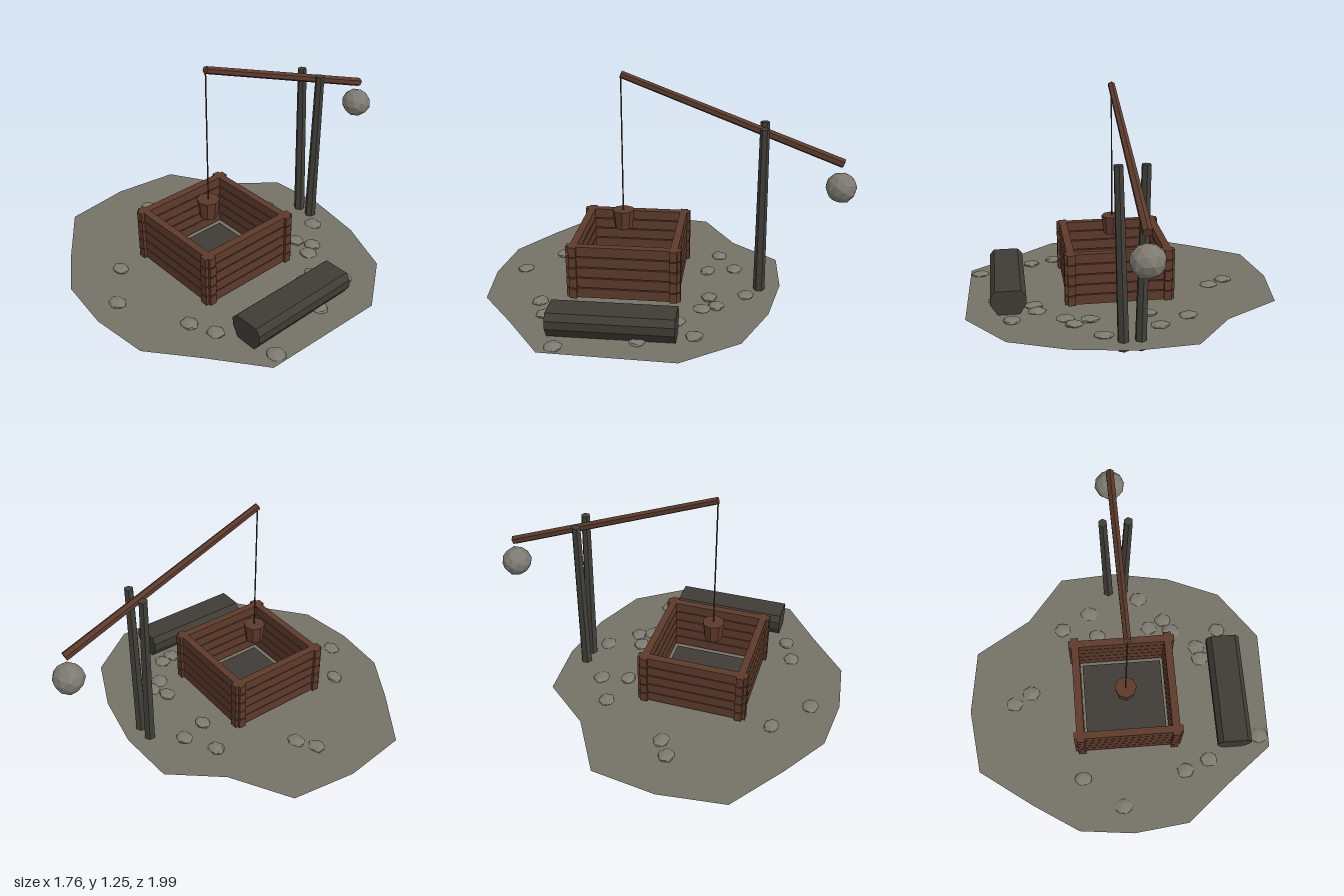
import * as THREE from 'three';

const mat = (name, color, side = THREE.FrontSide) => {
  const m = new THREE.MeshStandardMaterial({ color, side, flatShading: true });
  m.name = name;
  return m;
};

export function createModel() {
  const model = new THREE.Group();
  model.name = 'sweepWell';
  const soil = mat('soil', 0x757166, THREE.DoubleSide);
  const wood = mat('redBrownWood', 0x5d3a2b);
  const darkWood = mat('weatheredWood', 0x403f38);
  const troughWood = mat('troughWood', 0x3f3b35);
  const water = mat('darkWater', 0x3f3c37, THREE.DoubleSide);
  const stone = mat('stone', 0x7d7a70);
  const ropeMat = mat('rope', 0x4a3a2b);

  const add = (name, geo, material, x = 0, y = 0, z = 0, parent = model) => {
    const mesh = new THREE.Mesh(geo, material);
    mesh.name = name;
    mesh.position.set(x, y, z);
    parent.add(mesh);
    return mesh;
  };

  // Tapered pole between two points
  const pole = (name, a, b, rA, rB, sides, material) => {
    const from = new THREE.Vector3(...a), to = new THREE.Vector3(...b);
    const dir = to.clone().sub(from);
    const mesh = add(name, new THREE.CylinderGeometry(rB, rA, dir.length(), sides), material);
    mesh.position.copy(from).add(to).multiplyScalar(0.5);
    mesh.quaternion.setFromUnitVectors(new THREE.Vector3(0, 1, 0), dir.normalize());
    return mesh;
  };

  // Irregular faceted stone; each corner is pushed by a rule of its direction
  const rock = (name, seed, detail, rough, sx, sy, sz, x, y, z) => {
    const geo = new THREE.IcosahedronGeometry(1, detail);
    const p = geo.attributes.position, v = new THREE.Vector3();
    for (let i = 0; i < p.count; i++) {
      v.fromBufferAttribute(p, i);
      const k = 1 + rough * Math.sin(v.x * 5.1 + v.y * 7.3 + v.z * 6.7 + seed * 2.4);
      p.setXYZ(i, v.x * k, v.y * k, v.z * k);
    }
    geo.rotateY(seed * 1.7);
    geo.scale(sx, sy, sz);
    geo.computeVertexNormals();
    return add(name, geo, stone, x, y, z);
  };

  // Ground patch
  const outline = [
    [-0.30, -0.60], [0.03, -0.62], [0.36, -0.56], [0.67, -0.43], [0.88, -0.14],
    [0.86, 0.55], [0.59, 0.755], [0.345, 0.955], [0.03, 0.99], [-0.28, 0.955],
    [-0.54, 0.79], [-0.84, 0.575], [-0.885, 0.21], [-0.835, -0.15], [-0.515, -0.34],
  ];
  const patch = new THREE.Shape(outline.map(([x, z]) => new THREE.Vector2(x, -z)));
  add('ground', new THREE.ShapeGeometry(patch).rotateX(-Math.PI / 2), soil, 0, 0.05, 0);

  // Well curb: five courses of crossed planks
  const curb = new THREE.Group();
  curb.name = 'wellCurb';
  curb.position.set(0.033, 0, 0.21);
  model.add(curb);
  for (let i = 0; i < 5; i++) {
    const y = 0.0965 + i * 0.06;
    for (const s of [-1, 1]) {
      add('crossPlank', new THREE.BoxGeometry(0.61, 0.054, 0.04), wood, 0, y, s * 0.268, curb);
      add('sidePlank', new THREE.BoxGeometry(0.043, 0.054, 0.61), wood, s * 0.268, y, 0, curb);
    }
  }
  add('water', new THREE.PlaneGeometry(0.47, 0.47).rotateX(-Math.PI / 2), water, 0, 0.06, 0, curb);

  // Forked uprights and balance beam
  for (const s of [-1, 1]) {
    pole('upright', [0.034 + s * 0.044, 0, -0.505], [0.034 + s * 0.068, 0.975, -0.505],
      0.032, 0.025, 6, darkWood);
  }
  pole('sweepBeam', [0.033, 0.78, -0.922], [0.033, 1.226, 0.25], 0.025, 0.02, 6, wood);

  // Rope, bucket and counterweight
  pole('rope', [0.033, 0.465, 0.25], [0.033, 1.22, 0.25], 0.004, 0.004, 5, ropeMat);
  add('bucket', new THREE.CylinderGeometry(0.061, 0.049, 0.105, 8), wood, 0.033, 0.4175, 0.25);
  rock('counterweight', 1, 1, 0.03, 0.085, 0.083, 0.083, 0.03, 0.645, -0.917);

  // Trough: a log with a flattened top
  const section = [
    [0.578, 0.187], [0.718, 0.187], [0.745, 0.155], [0.745, 0.11], [0.708, 0.053],
    [0.645, 0.027], [0.585, 0.053], [0.55, 0.11], [0.55, 0.155],
  ];
  const log = new THREE.Shape(section.map(([x, y]) => new THREE.Vector2(x, y)));
  add('trough', new THREE.ExtrudeGeometry(log, { depth: 0.645, bevelEnabled: false }),
    troughWood, 0, 0, -0.11);

  // Scattered flat stones
  const spots = [
    [-0.31, -0.265], [-0.14, -0.36], [-0.1, -0.21], [0.17, -0.435], [0.22, -0.24],
    [0.31, -0.285], [0.35, -0.21], [0.635, -0.195], [0.495, -0.095], [0.51, -0.02],
    [0.71, 0.08], [0.805, 0.48], [0.495, 0.6], [0.355, 0.655], [-0.02, 0.835],
    [-0.24, 0.66], [-0.52, 0.125], [-0.62, 0.185],
  ];
  spots.forEach(([x, z], i) =>
    rock('flatStone', i, 1, 0.1, 0.05, 0.015, 0.043, x, 0.055, z));

  return model;
}
